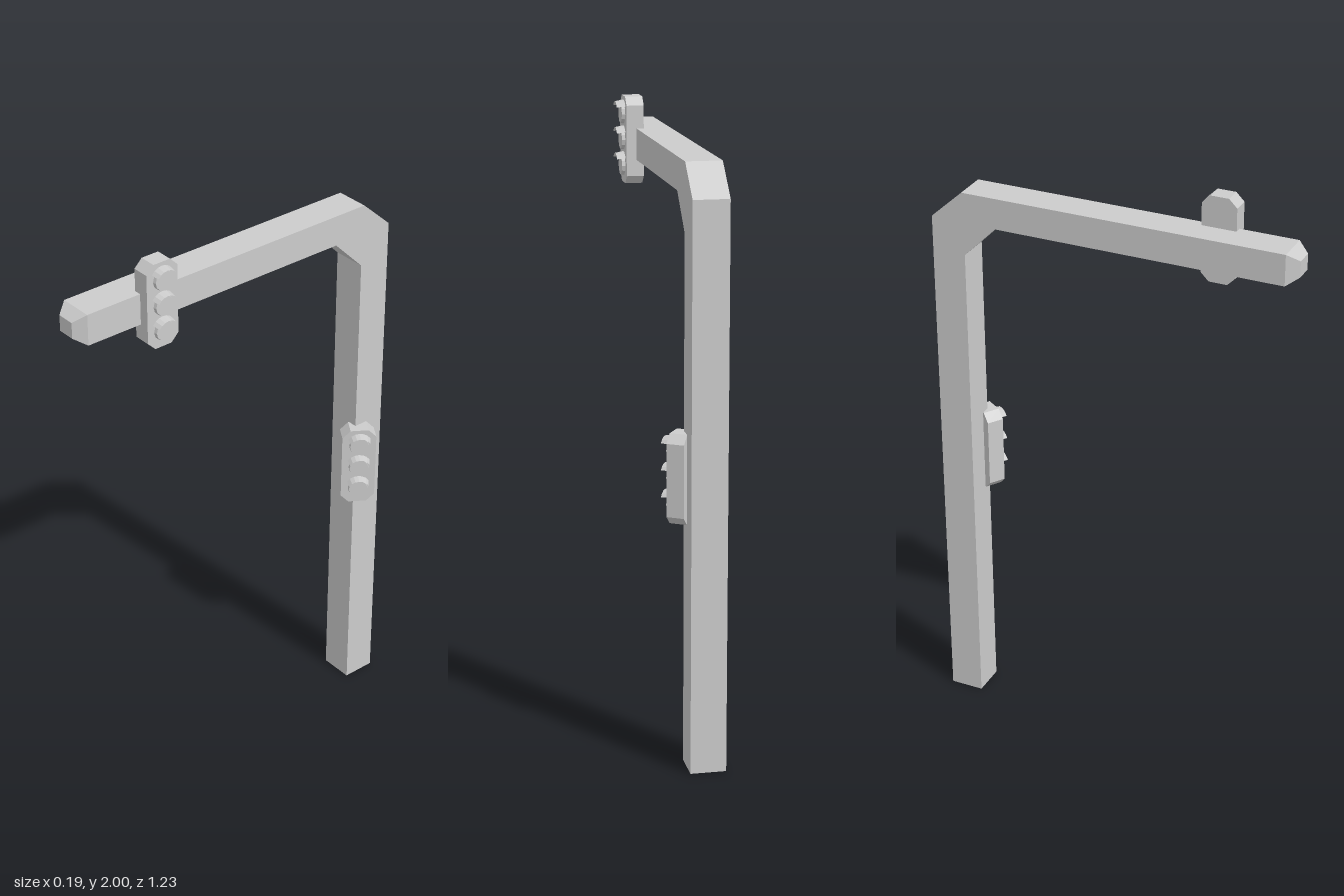
import * as THREE from 'three';

const grey = new THREE.MeshStandardMaterial({ color: 0xcccccc, flatShading: true, side: THREE.DoubleSide });

function addMesh(parent, name, geometry) {
  const mesh = new THREE.Mesh(geometry, grey);
  mesh.name = name;
  parent.add(mesh);
  return mesh;
}

// Square tube swept up the post, round the mitred bend and out along the arm
function postGeometry() {
  // outer y, outer z, inner y, inner z, half width
  const sections = [
    [0, -0.613, 0, -0.5, 0.057],
    [1.8, -0.613, 1.685, -0.5, 0.057],
    [1.898, -0.505, 1.795, -0.39, 0.057],
    [1.898, 0.575, 1.795, 0.575, 0.057],
    [1.873, 0.613, 1.82, 0.613, 0.03],
  ];
  const cx = -0.038;
  const pos = [], index = [];
  for (const [oy, oz, iy, iz, w] of sections) {
    pos.push(cx - w, oy, oz, cx + w, oy, oz, cx + w, iy, iz, cx - w, iy, iz);
  }
  for (let s = 0; s < sections.length - 1; s++) {
    for (let k = 0; k < 4; k++) {
      const a = s * 4 + k, b = s * 4 + (k + 1) % 4;
      index.push(a, a + 4, b, b, a + 4, b + 4);
    }
  }
  // tip of the arm is closed, foot of the post stays open
  const e = (sections.length - 1) * 4;
  index.push(e, e + 2, e + 1, e, e + 3, e + 2);
  const geo = new THREE.BufferGeometry();
  geo.setAttribute('position', new THREE.Float32BufferAttribute(pos, 3));
  geo.setIndex(index);
  const flat = geo.toNonIndexed();
  flat.computeVertexNormals();
  return flat;
}

// Three-lamp signal; the origin is the centre of its front face, facing +z
function makeSignal(name) {
  const signal = new THREE.Group();
  signal.name = name;
  const w = 0.0575, h = 0.1425, c = 0.027, depth = 0.057;
  const outline = new THREE.Shape([
    [-w, -h + c], [-w + c, -h], [w - c, -h], [w, -h + c],
    [w, h - c], [w - c, h], [-w + c, h], [-w, h - c],
  ].map(([x, y]) => new THREE.Vector2(x, y)));
  const housing = new THREE.ExtrudeGeometry(outline, { depth, bevelEnabled: false });
  housing.translate(0, 0, -depth);
  addMesh(signal, 'signalHousing', housing);

  for (const y of [0.085, 0, -0.085]) {
    const lamp = new THREE.CylinderGeometry(0.032, 0.034, 0.012, 12);
    lamp.rotateX(Math.PI / 2);
    addMesh(signal, 'lamp', lamp).position.set(0, y, 0.005);

    // hood arching over the lamp, narrowing outward
    const span = 1.95;
    const visor = new THREE.CylinderGeometry(0.04, 0.045, 0.028, 6, 1, true, Math.PI - span / 2, span);
    visor.rotateX(Math.PI / 2);
    addMesh(signal, 'visor', visor).position.set(0, y, 0.014);
  }
  return signal;
}

export function createModel() {
  const model = new THREE.Group();
  model.name = 'trafficLight';
  addMesh(model, 'postAndArm', postGeometry());

  const upper = makeSignal('armSignal');
  upper.position.set(0.052, 1.8575, 0.325);
  upper.rotation.y = Math.PI / 2;
  model.add(upper);

  // lower signal is turned partly toward the front
  const lower = makeSignal('postSignal');
  lower.position.set(0.05, 0.932, -0.491);
  lower.rotation.y = THREE.MathUtils.degToRad(57);
  model.add(lower);
  return model;
}
